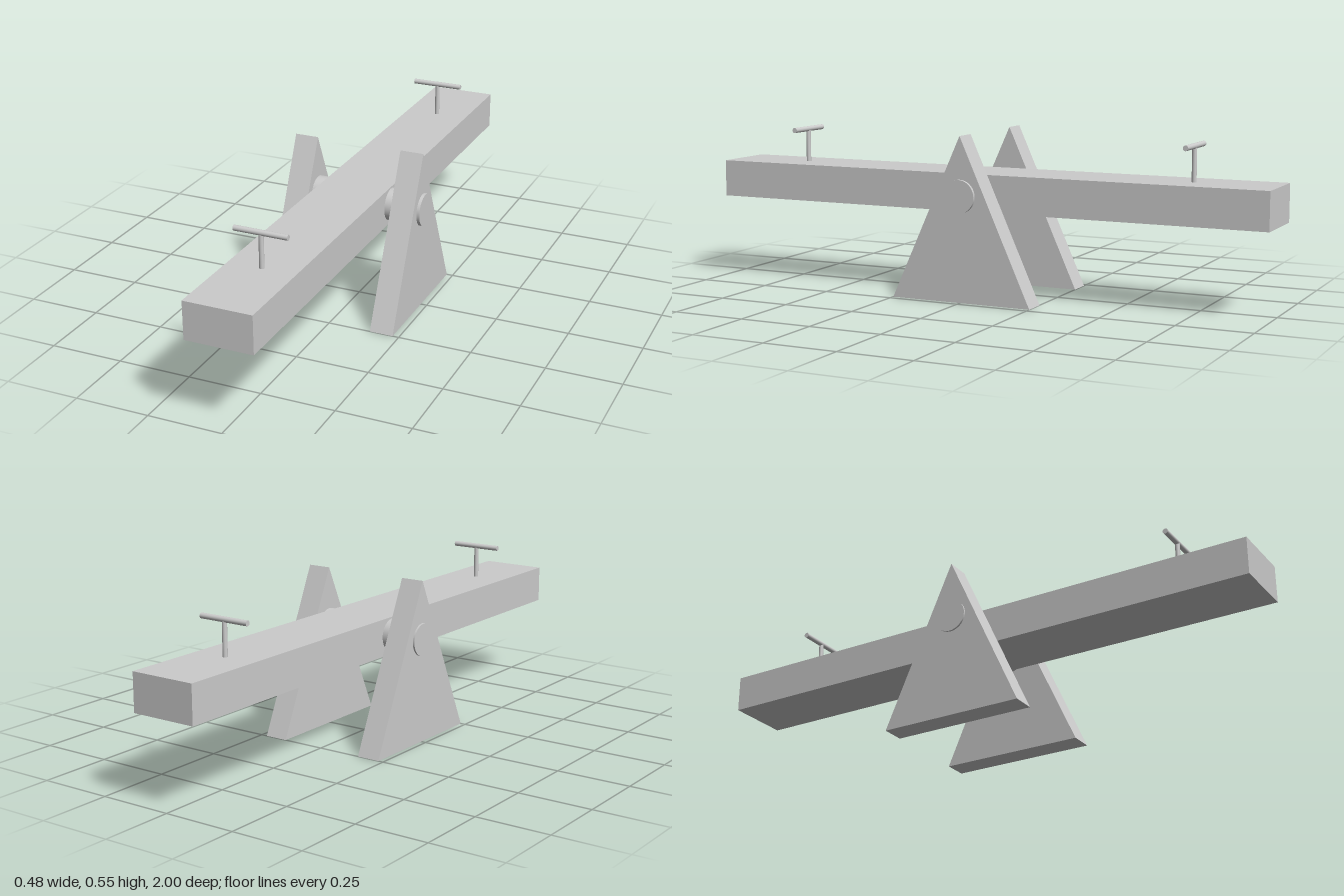
import * as THREE from 'three';

export function createModel() {
  const model = new THREE.Group();
  model.name = 'seesaw';
  const material = new THREE.MeshStandardMaterial({ color: 0xcccccc });

  const add = (name, geometry, x, y, z, parent = model) => {
    const mesh = new THREE.Mesh(geometry, material);
    mesh.name = name;
    mesh.position.set(x, y, z);
    parent.add(mesh);
    return mesh;
  };
  // Cylinder lying along x
  const rod = (radius, length, sides) =>
    new THREE.CylinderGeometry(radius, radius, length, sides).rotateZ(Math.PI / 2);

  // Plank and the axle it pivots on
  add('plank', new THREE.BoxGeometry(0.227, 0.127, 2), 0.001, 0.35, 0);
  add('axle', rod(0.055, 0.478, 48), 0, 0.353, 0);

  // Triangular side supports
  const triangle = new THREE.Shape([
    new THREE.Vector2(-0.25, 0),
    new THREE.Vector2(0.25, 0),
    new THREE.Vector2(0, 0.55),
  ]);
  const thickness = 0.081;
  const supportGeometry = new THREE.ExtrudeGeometry(triangle, { depth: thickness, bevelEnabled: false })
    .translate(0, 0, -thickness / 2)
    .rotateY(Math.PI / 2);
  add('leftSupport', supportGeometry, 0.188, 0, 0);
  add('rightSupport', supportGeometry, -0.192, 0, 0);

  // T-shaped handles near both ends
  for (const [name, z] of [['frontHandle', 0.72], ['backHandle', -0.72]]) {
    const handle = new THREE.Group();
    handle.name = name;
    handle.position.set(0.001, 0, z);
    add('post', new THREE.CylinderGeometry(0.008, 0.008, 0.125, 24), 0, 0.4625, 0, handle);
    add('grip', rod(0.009, 0.18, 24), 0, 0.529, 0, handle);
    model.add(handle);
  }
  return model;
}
